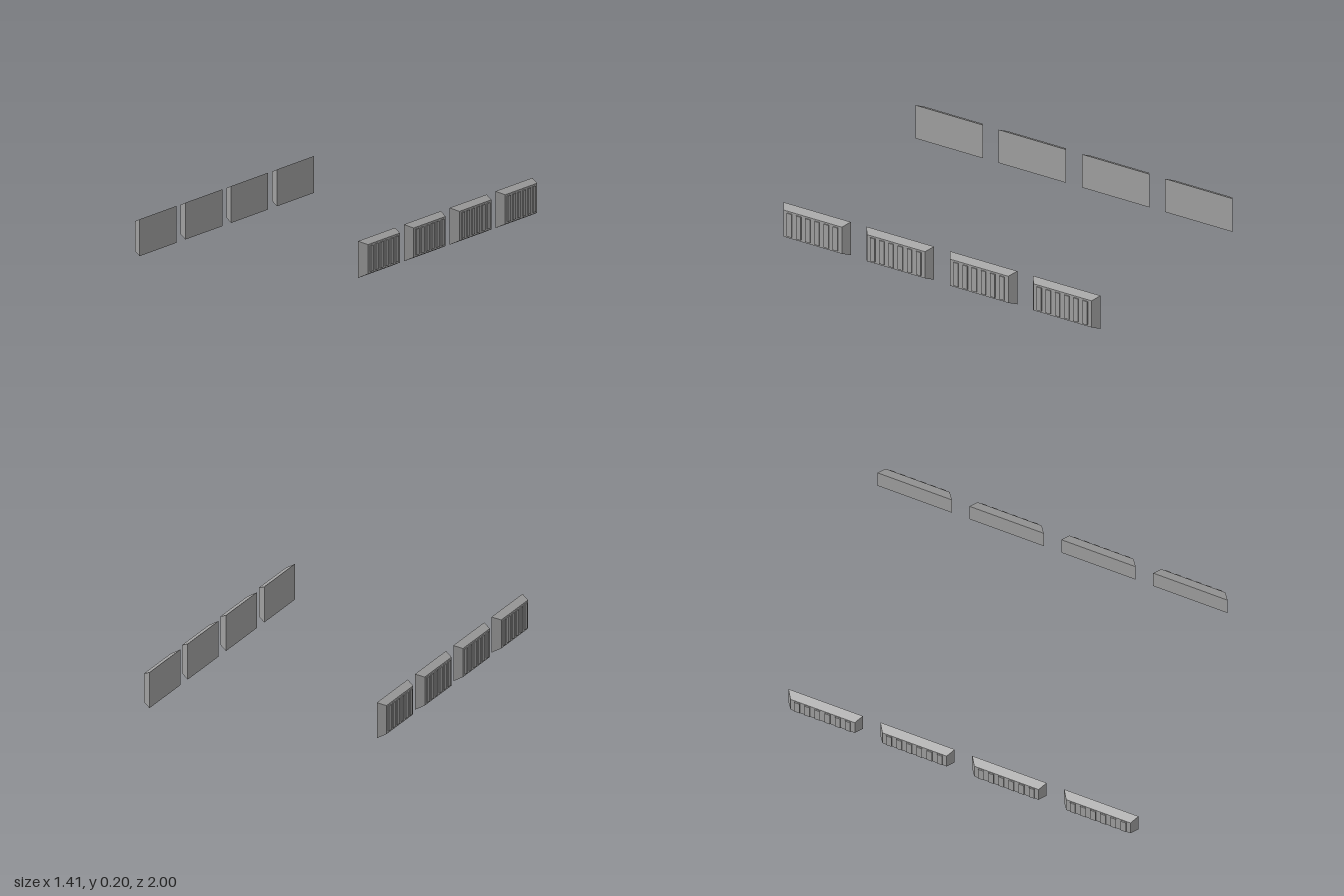
import * as THREE from 'three';

const LENGTH = 0.425, HEIGHT = 0.2, DEPTH = 0.044; // block size along z, y, x
const PITCH = 0.525, INNER_X = 0.657;
const RIBS = 6, RIB_PITCH = 0.058;

// Block whose outer (+x) face is smaller than its inner face
function bevelledBlock() {
  const geo = new THREE.BoxGeometry(DEPTH, HEIGHT, LENGTH);
  const p = geo.attributes.position;
  for (let i = 0; i < p.count; i++) {
    if (p.getX(i) > 0) {
      p.setY(i, p.getY(i) - Math.sign(p.getY(i)) * 0.02);
      p.setZ(i, p.getZ(i) - Math.sign(p.getZ(i)) * 0.029);
    }
  }
  geo.computeVertexNormals();
  return geo.translate(DEPTH / 2, HEIGHT / 2, 0);
}

export function createModel() {
  const model = new THREE.Group();
  model.name = 'ribbedBlocks';
  const grey = new THREE.MeshStandardMaterial({ color: 0xa0a0a0 });
  grey.name = 'grey';

  const blockGeo = bevelledBlock();
  const ribGeo = new THREE.BoxGeometry(0.012, 0.14, 0.03);

  // One block with a row of upright ribs on its outer face
  function ribbedBlock(name) {
    const group = new THREE.Group();
    group.name = name;
    const block = new THREE.Mesh(blockGeo, grey);
    block.name = 'block';
    group.add(block);
    for (let i = 0; i < RIBS; i++) {
      const rib = new THREE.Mesh(ribGeo, grey);
      rib.name = 'rib';
      rib.position.set(DEPTH, HEIGHT / 2, (i - (RIBS - 1) / 2) * RIB_PITCH);
      group.add(rib);
    }
    return group;
  }

  // Four blocks in a row on each side, ribs facing outward
  for (const side of [1, -1]) {
    for (let i = 0; i < 4; i++) {
      const block = ribbedBlock(side > 0 ? 'leftBlock' : 'rightBlock');
      block.position.set(side * INNER_X, 0, (i - 1.5) * PITCH);
      if (side < 0) block.rotation.y = Math.PI;
      model.add(block);
    }
  }
  return model;
}
